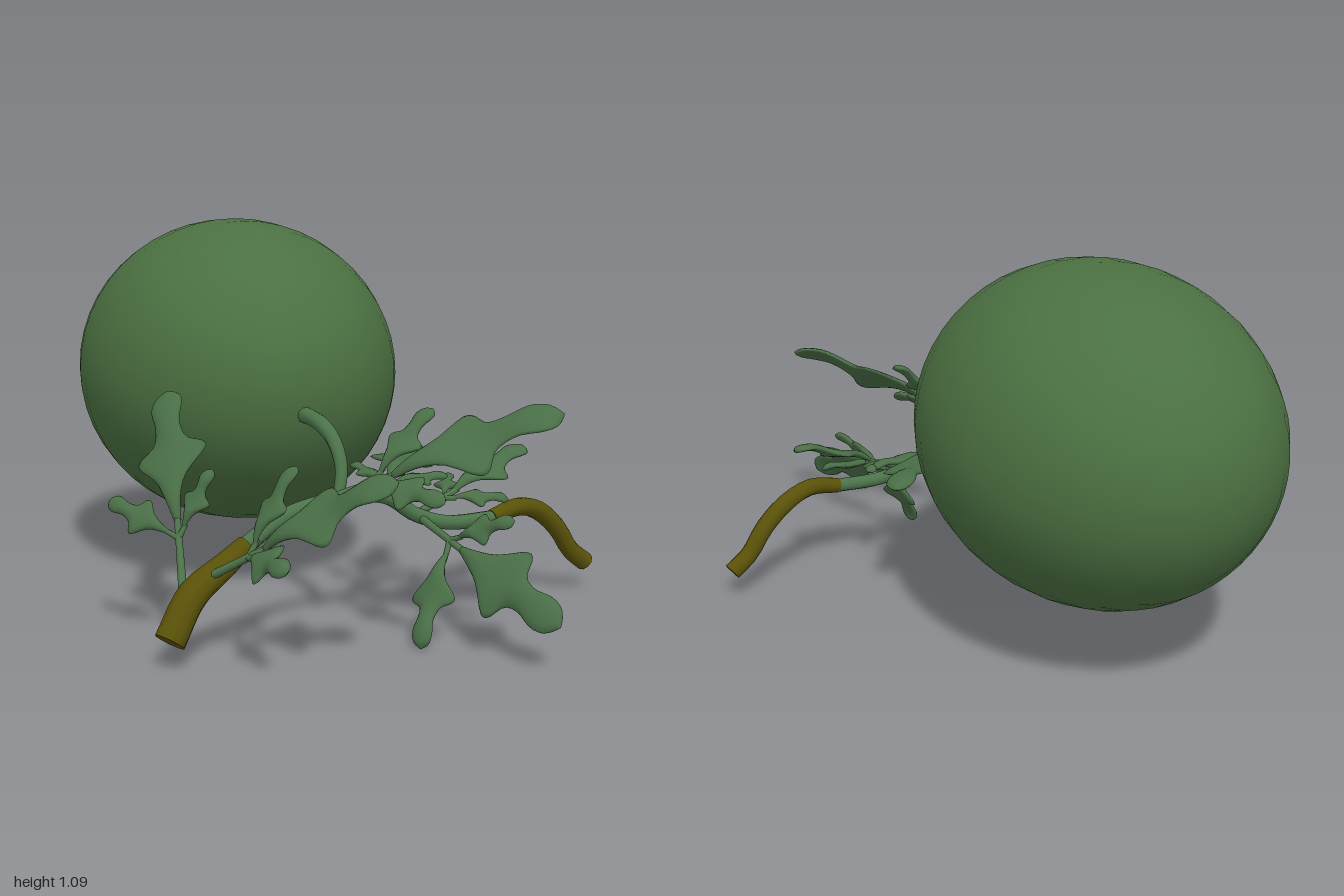
import * as THREE from 'three';

const material = (name, color) => Object.assign(new THREE.MeshStandardMaterial({ color }), { name });
const V = (a) => new THREE.Vector3(...a);

// Skin a list of equal-sized rings (each counter-clockwise around the travel direction)
function loft(rings) {
  const n = rings[0].length, pos = [], idx = [];
  rings.forEach((ring) => ring.forEach((p) => pos.push(p.x, p.y, p.z)));
  for (let r = 0; r < rings.length - 1; r++) {
    for (let i = 0; i < n; i++) {
      const a = r * n + i, b = r * n + (i + 1) % n;
      idx.push(a, b, b + n, a, b + n, a + n);
    }
  }
  const geo = new THREE.BufferGeometry();
  geo.setAttribute('position', new THREE.Float32BufferAttribute(pos, 3));
  geo.setIndex(idx);
  geo.computeVertexNormals();
  return geo;
}

// Tapered round stem along a curve; stops are [x, y, z, radius]; flat closed ends
function stemGeometry(stops, steps, sides = 10) {
  const curve = new THREE.CatmullRomCurve3(stops.map(([x, y, z]) => new THREE.Vector3(x, y, z)));
  const { normals, binormals } = curve.computeFrenetFrames(steps, false);
  const rings = [];
  for (let s = 0; s <= steps; s++) {
    const u = s / steps, t = curve.getUtoTmapping(u), k = t * (stops.length - 1);
    const i = Math.min(Math.floor(k), stops.length - 2);
    const radius = THREE.MathUtils.lerp(stops[i][3], stops[i + 1][3], k - i);
    const c = curve.getPoint(t), ring = [];
    for (let j = 0; j < sides; j++) {
      const a = (j / sides) * Math.PI * 2;
      ring.push(c.clone().addScaledVector(normals[s], radius * Math.cos(a))
        .addScaledVector(binormals[s], radius * Math.sin(a)));
    }
    rings.push(ring);
  }
  const cap = (p) => Array(sides).fill(V(p.slice(0, 3)));
  const last = rings[rings.length - 1];
  return loft([cap(stops[0]), rings[0], ...rings, last, cap(stops[stops.length - 1])]);
}

// Half-width of a lobed leaf along its length, both as fractions of the length
const leafWidth = new THREE.SplineCurve([
  [0, 0.025], [0.12, 0.05], [0.27, 0.11], [0.4, 0.24], [0.48, 0.23], [0.57, 0.12],
  [0.7, 0.09], [0.84, 0.115], [0.94, 0.09], [1, 0.005],
].map(([x, y]) => new THREE.Vector2(x, y)));

// Thick lobed leaf from base to tip, its side lobes swept forward
function leafGeometry(base, tip, normalHint) {
  const dir = tip.clone().sub(base), length = dir.length();
  dir.normalize();
  const normal = normalHint.clone().addScaledVector(dir, -normalHint.dot(dir)).normalize();
  const side = normal.clone().cross(dir);
  const rings = [], steps = 26, sides = 14;
  for (let s = 0; s <= steps; s++) {
    const p = leafWidth.getPoint(s / steps), w = p.y * length;
    const thick = Math.min(0.011, w * 0.6);
    const bend = length * (0.06 * Math.sin(p.x * Math.PI) + 0.025 * Math.sin(p.x * Math.PI * 3));
    const ring = [];
    for (let j = 0; j < sides; j++) {
      const a = (j / sides) * Math.PI * 2, c = Math.cos(a);
      const sweep = 0.4 * w * c * c * (1 - p.x);
      ring.push(base.clone().addScaledVector(dir, p.x * length + sweep)
        .addScaledVector(side, w * c)
        .addScaledVector(normal, thick * Math.sin(a) + bend - 0.12 * w * c * c));
    }
    rings.push(ring);
  }
  const end = (ring) => {
    const c = ring.reduce((sum, q) => sum.add(q), new THREE.Vector3()).divideScalar(sides);
    return Array(sides).fill(c);
  };
  return loft([end(rings[0]), ...rings, end(rings[steps])]);
}

export function createModel() {
  const model = new THREE.Group();
  const fruitGreen = material('fruitGreen', 0x4b7041);
  const leafGreen = material('leafGreen', 0x496e46);
  const stemGreen = material('stemGreen', 0x4c734a);
  const bark = material('oliveBark', 0x5a5208);
  const add = (parent, name, geo, mat) => {
    const mesh = new THREE.Mesh(geo, mat);
    mesh.name = name;
    parent.add(mesh);
    return mesh;
  };

  // Fruit: long ellipsoid lying along z, turned a little
  const fruitGeo = new THREE.SphereGeometry(1, 48, 20);
  fruitGeo.rotateX(Math.PI / 2).scale(0.482, 0.468, 0.61);
  const fruit = add(model, 'fruit', fruitGeo, fruitGreen);
  fruit.position.set(-0.03, 0.634, -0.4);
  fruit.rotation.y = -0.19;

  // Vine: green middle between two woody ends
  add(model, 'vineMiddle', stemGeometry([
    [-0.46, 0.285, 0.43, 0.024], [-0.345, 0.345, 0.42, 0.022], [-0.21, 0.373, 0.41, 0.02],
    [-0.09, 0.378, 0.405, 0.02], [0.01, 0.358, 0.405, 0.02], [0.09, 0.305, 0.42, 0.021],
    [0.18, 0.277, 0.445, 0.021], [0.33, 0.277, 0.465, 0.021],
  ], 32), stemGreen);
  add(model, 'woodyEndRight', stemGeometry([
    [-0.69, 0.08, 0.465, 0.042], [-0.615, 0.185, 0.445, 0.041],
    [-0.52, 0.245, 0.435, 0.034], [-0.45, 0.292, 0.43, 0.027],
  ], 12), bark);
  add(model, 'woodyEndLeft', stemGeometry([
    [0.32, 0.277, 0.465, 0.023], [0.42, 0.295, 0.455, 0.026], [0.515, 0.27, 0.435, 0.028],
    [0.595, 0.205, 0.43, 0.028], [0.645, 0.135, 0.43, 0.027], [0.705, 0.09, 0.43, 0.028],
  ], 14), bark);

  // Stalk curving from the vine up to the fruit
  add(model, 'fruitStalk', stemGeometry([
    [-0.16, 0.37, 0.41, 0.016], [-0.135, 0.45, 0.39, 0.018], [-0.13, 0.52, 0.345, 0.02],
    [-0.13, 0.56, 0.27, 0.022], [-0.13, 0.575, 0.15, 0.024],
  ], 16), stemGreen);

  // Compound leaves: [base on the vine, main tip, two leaflet tips]
  const leaves = [
    [[-0.63, 0.2, 0.42], [-0.48, 0.645, 0.04], [-0.7, 0.38, 0.13], [-0.5, 0.48, 0.34]],
    [[-0.58, 0.22, 0.44], [-0.28, 0.515, 0.87], [-0.55, 0.32, 0.81], [-0.37, 0.51, 0.55]],
    [[-0.24, 0.37, 0.41], [0.28, 0.625, 0.81], [-0.07, 0.42, 0.77], [0.08, 0.615, 0.51]],
    [[-0.03, 0.365, 0.405], [0.36, 0.41, 0.02], [0.06, 0.4, 0.14], [0.28, 0.37, 0.31]],
    [[0.09, 0.305, 0.42], [0.5, 0.45, 0.39], [0.3, 0.37, 0.29], [0.36, 0.33, 0.49]],
    [[0.1, 0.3, 0.42], [0.12, 0.13, 1.0], [-0.06, 0.01, 0.66], [0.18, 0.34, 0.74]],
  ];
  leaves.forEach((points) => {
    const [base, tip, tipA, tipB] = points.map(V);
    const group = new THREE.Group();
    group.name = 'compoundLeaf';
    model.add(group);
    let normal = tip.clone().sub(base).cross(tipB.clone().sub(tipA)).normalize();
    if (normal.y < 0) normal = normal.negate();
    const fork = base.clone().lerp(tip, 0.24), bladeStart = base.clone().lerp(tip, 0.32);
    const petiole = (name, a, b, r) => {
      const mid = a.clone().lerp(b, 0.5);
      add(group, name, stemGeometry([[...a, r], [...mid, r * 0.85], [...b, r * 0.75]], 4, 8), stemGreen);
    };
    petiole('leafStalk', base, base.clone().lerp(tip, 0.37), 0.012);
    add(group, 'mainLeaf', leafGeometry(bladeStart, tip, normal), leafGreen);
    [tipA, tipB].forEach((end) => {
      petiole('leafletStalk', fork, fork.clone().lerp(end, 0.2), 0.009);
      add(group, 'leaflet', leafGeometry(fork.clone().lerp(end, 0.12), end, normal), leafGreen);
    });
  });

  return model;
}
